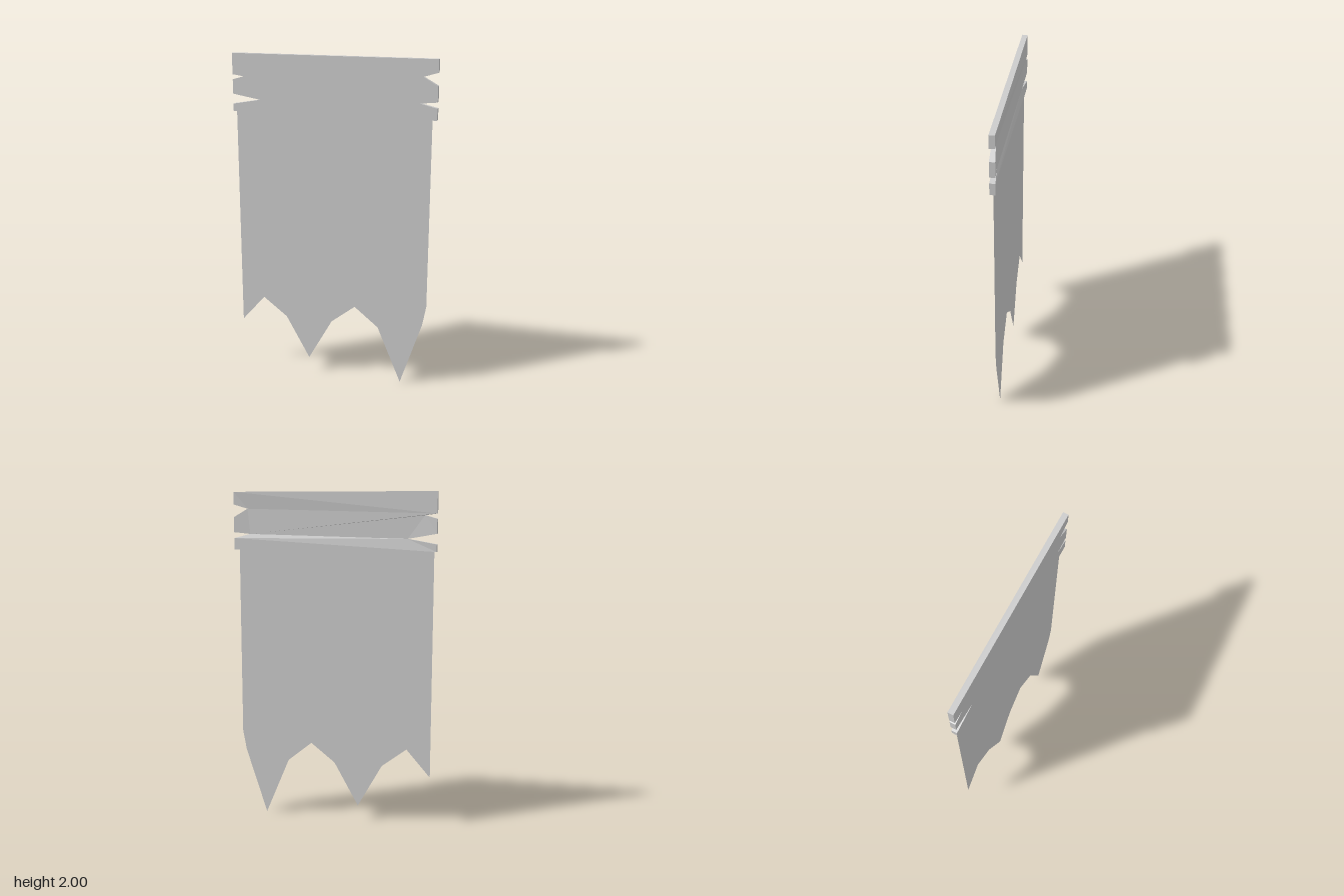
import * as THREE from 'three';

const shapeOf = (points) => new THREE.Shape(points.map(([x, y]) => new THREE.Vector2(x, y)));

export function createModel() {
  const group = new THREE.Group();
  group.name = 'tatteredBanner';

  // Wooden board with splits cut into both ends
  const halfDepth = 0.016;
  const board = new THREE.ExtrudeGeometry(shapeOf([
    [-0.615, 1.657], [0.615, 1.657],
    [0.615, 1.725], [0.515, 1.75], [0.615, 1.76],
    [0.615, 1.85], [0.53, 1.9], [0.615, 1.925],
    [0.615, 2], [-0.615, 2],
    [-0.615, 1.875], [-0.545, 1.865], [-0.615, 1.845],
    [-0.615, 1.76], [-0.445, 1.73], [-0.615, 1.7],
  ]), { depth: 2 * halfDepth, bevelEnabled: false });
  board.translate(0, 0, -halfDepth);

  // Shallow grooves across the back, running between the split tips
  const pos = board.attributes.position;
  for (let i = 0; i < pos.count; i++) {
    if (pos.getZ(i) < 0 && Math.abs(pos.getX(i)) < 0.6) pos.setZ(i, -0.007);
  }
  board.computeVertexNormals();
  const boardMesh = new THREE.Mesh(board,
    new THREE.MeshStandardMaterial({ color: 0xcccccc, flatShading: true }));
  boardMesh.name = 'board';
  group.add(boardMesh);

  // Thin cloth hanging from the board, with a torn lower edge
  const cloth = new THREE.Mesh(
    new THREE.ShapeGeometry(shapeOf([
      [-0.6, 1.69], [-0.6, 0.305], [-0.455, 0.47], [-0.305, 0.355],
      [-0.157, 0.09], [-0.008, 0.355], [0.14, 0.47], [0.288, 0.35],
      [0.435, 0], [0.565, 0.4], [0.587, 0.52], [0.587, 1.69],
    ])),
    new THREE.MeshStandardMaterial({ color: 0xcccccc, side: THREE.DoubleSide }));
  cloth.name = 'cloth';
  group.add(cloth);

  return group;
}
